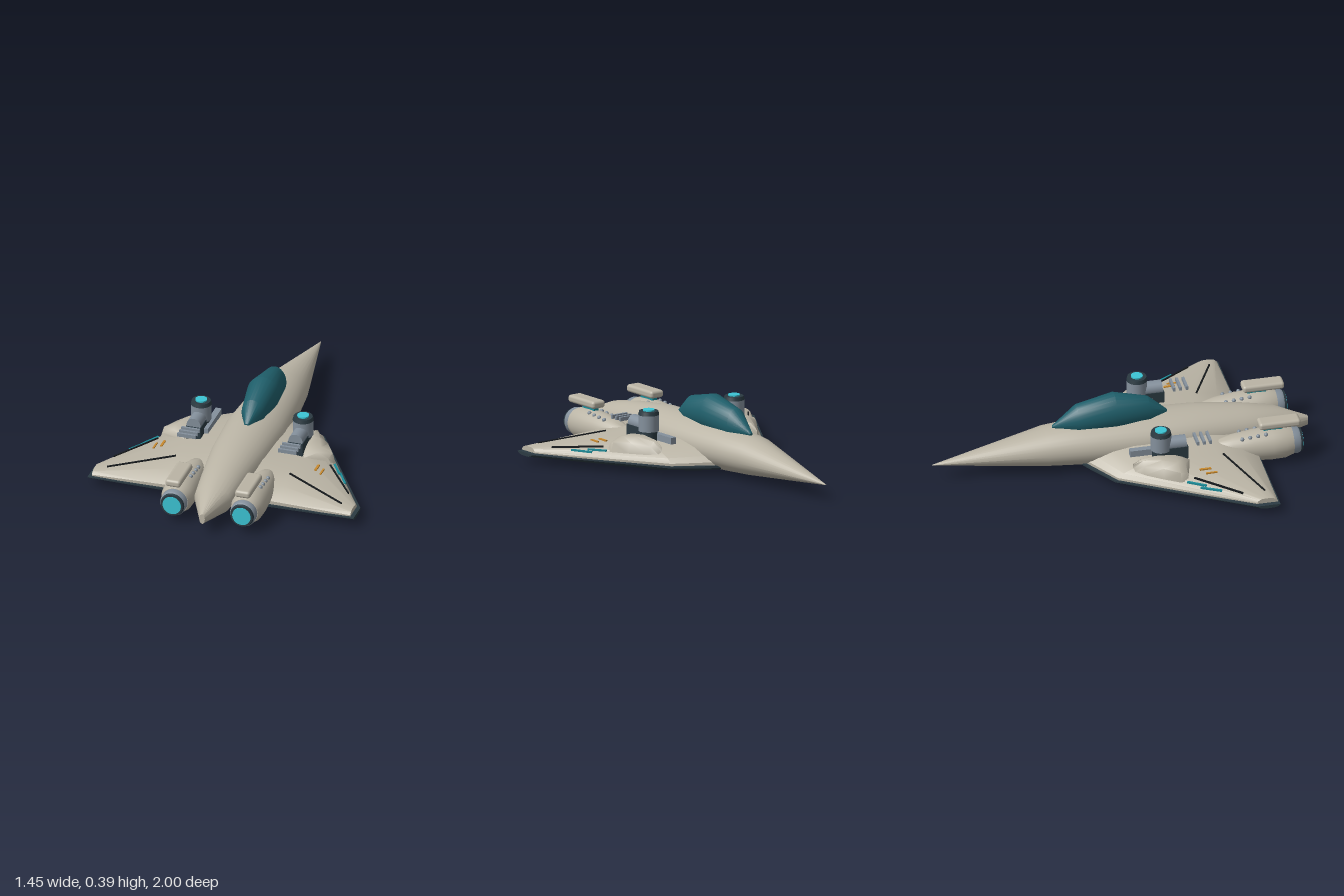
import * as THREE from 'three';
import { toCreasedNormals } from 'three/addons/utils/BufferGeometryUtils.js';
import { RoundedBoxGeometry } from 'three/addons/geometries/RoundedBoxGeometry.js';

const paint = (name, color) => {
  const m = new THREE.MeshStandardMaterial({ color });
  m.name = name;
  return m;
};

// Skin a list of closed rings, cap both ends and face it outwards
function loft(rings, crease = 0.5) {
  const n = rings[0].length, pos = rings.flat(2), idx = [], last = (rings.length - 1) * n;
  for (let r = 0; r < rings.length - 1; r++)
    for (let i = 0; i < n; i++) {
      const a = r * n + i, b = r * n + (i + 1) % n;
      idx.push(a, b, a + n, b, b + n, a + n);
    }
  for (let i = 1; i < n - 1; i++) {
    idx.push(0, i + 1, i);
    idx.push(last, last + i, last + i + 1);
  }
  const v = i => new THREE.Vector3().fromArray(pos, i * 3);
  let volume = 0;
  for (let i = 0; i < idx.length; i += 3) volume += v(idx[i]).dot(v(idx[i + 1]).cross(v(idx[i + 2])));
  if (volume < 0) idx.reverse();
  const g = new THREE.BufferGeometry();
  g.setAttribute('position', new THREE.Float32BufferAttribute(pos, 3));
  g.setIndex(idx);
  return toCreasedNormals(g, crease);
}

// Elliptical body along z from [z, halfWidth, centreY, halfHeight]
const body = (stations, sides = 32) => loft(stations.map(([z, rx, cy, ry]) =>
  Array.from({ length: sides }, (_, i) => {
    const a = i / sides * Math.PI * 2;
    return [rx * Math.cos(a), cy + ry * Math.sin(a), z];
  })));

// Wing chord profile: [chord fraction, height fraction]
const CHORD = [[0, 0.2], [0.04, 0.45], [0.12, 0.75], [0.25, 0.95], [0.45, 1], [0.7, 0.97], [0.88, 0.75], [1, 0.25]];
// Wing stations: [x, leading z, trailing z, base y, outer y]
const UPPER = [[0.08, -0.22, 0.68, 0.05, 0.172], [0.31, -0.08, 0.68, 0.052, 0.146], [0.705, 0.57, 0.68, 0.06, 0.087]];
const LOWER = [[0.08, -0.235, 0.69, 0.058, 0], [0.145, -0.2, 0.69, 0.058, 0], [0.315, -0.095, 0.69, 0.058, 0.013], [0.725, 0.57, 0.69, 0.056, 0.038]];

const wing = stations => loft(stations.map(([x, z0, z1, y0, y1]) => [
  ...CHORD.map(([u, h]) => [x, y0 + (y1 - y0) * h, z0 + (z1 - z0) * u]),
  [x, y0, z1], [x, y0, z0],
]));

// Height of the upper wing skin at (x, z)
function wingTop(x, z) {
  const k = x < UPPER[1][0] ? 0 : 1, A = UPPER[k], B = UPPER[k + 1];
  const t = (x - A[0]) / (B[0] - A[0]);
  const [, z0, z1, y0, y1] = A.map((a, i) => a + (B[i] - a) * t);
  const u = THREE.MathUtils.clamp((z - z0) / (z1 - z0), 0, 0.999);
  const i = CHORD.findIndex(c => c[0] > u), [ua, ha] = CHORD[i - 1], [ub, hb] = CHORD[i];
  return y0 + (y1 - y0) * (ha + (hb - ha) * (u - ua) / (ub - ua));
}

export function createModel() {
  const hull = paint('hull beige', 0xbab4a5), dark = paint('dark slate', 0x2b3a42);
  const glass = paint('canopy teal', 0x1f5f6b), metal = paint('blue grey metal', 0x84909c);
  const glow = paint('cyan glow', 0x3cc4d4), teal = paint('teal trim', 0x1b8c99);
  const black = paint('panel black', 0x15191c), orange = paint('orange mark', 0xc98a2e);

  const model = new THREE.Group();
  model.name = 'fighterCraft';
  const add = (parent, name, geo, mat, x = 0, y = 0, z = 0) => {
    const m = new THREE.Mesh(geo, mat);
    m.name = name;
    m.position.set(x, y, z);
    parent.add(m);
    return m;
  };

  add(model, 'fuselage', body([
    [-1, 0.002, 0.09, 0.002], [-0.4, 0.125, 0.128, 0.1], [-0.2, 0.145, 0.13, 0.115], [0.1, 0.165, 0.131, 0.126],
    [0.4, 0.15, 0.131, 0.12], [0.65, 0.121, 0.124, 0.1], [0.82, 0.1, 0.11, 0.082], [1, 0.015, 0.092, 0.028],
  ]), hull);
  add(model, 'canopy', body([
    [-0.36, 0.008, 0.237, 0.006], [-0.23, 0.062, 0.265, 0.085], [-0.03, 0.088, 0.292, 0.1],
    [0.15, 0.06, 0.27, 0.08], [0.25, 0.012, 0.25, 0.012],
  ], 24), glass);

  const buildSide = () => {
    const side = new THREE.Group();

    // Wing: beige skin over a slightly wider dark belly
    add(side, 'upperWing', wing(UPPER), hull);
    add(side, 'lowerWing', wing(LOWER), dark);

    // Thin strips laid along the wing skin
    const strip = (name, mat, x0, z0, x1, z1, w) => {
      const a = new THREE.Vector3(x0, wingTop(x0, z0) + 0.002, z0), b = new THREE.Vector3(x1, wingTop(x1, z1) + 0.002, z1);
      const m = add(side, name, new THREE.BoxGeometry(w, 0.009, a.distanceTo(b)), mat);
      m.position.copy(a).add(b).multiplyScalar(0.5);
      m.lookAt(b);
    };
    strip('panelLine', black, 0.47, 0.29, 0.64, 0.51, 0.008);
    strip('panelLine', black, 0.31, 0.48, 0.64, 0.625, 0.008);
    strip('tealStrip', teal, 0.48, 0.25, 0.535, 0.34, 0.012);
    strip('tealStrip', teal, 0.53, 0.31, 0.588, 0.41, 0.012);
    strip('orangeMark', orange, 0.42, 0.33, 0.42, 0.39, 0.012);
    strip('orangeMark', orange, 0.455, 0.355, 0.455, 0.415, 0.009);

    // Blister fairing beside the turret
    add(side, 'wingBlister', loft([
      [0, 0.31, 0.31, 0.145], [0.05, 0.3, 0.345, 0.172], [0.14, 0.3, 0.41, 0.186],
      [0.22, 0.3, 0.46, 0.18], [0.26, 0.31, 0.45, 0.168], [0.3, 0.32, 0.34, 0.14],
    ].map(([z, x0, x1, top]) => [
      [x0, 0.11, z], [x0, top - 0.012, z], [x0 + (x1 - x0) * 0.2, top, z],
      [x0 + (x1 - x0) * 0.6, top - 0.004, z], [x1, top - 0.03, z], [x1 + 0.015, 0.1, z],
    ]), 0.9), hull);

    // Turret
    const turret = new THREE.Group();
    turret.name = 'turret';
    turret.position.set(0.278, 0, 0.155);
    side.add(turret);
    add(turret, 'turretBase', new THREE.CylinderGeometry(0.045, 0.045, 0.1, 24), dark, 0, 0.16);
    add(turret, 'turretBody', new THREE.CylinderGeometry(0.054, 0.054, 0.09, 24), metal, 0, 0.245);
    add(turret, 'turretCap', new THREE.CylinderGeometry(0.05, 0.055, 0.02, 24), dark, 0, 0.296);
    add(turret, 'turretLight', new THREE.CylinderGeometry(0.031, 0.031, 0.009, 24), glow, 0, 0.309);
    add(turret, 'turretBarrel', new THREE.CylinderGeometry(0.038, 0.038, 0.12, 20).rotateX(Math.PI / 2), metal, 0, 0.225, 0.07);
    add(turret, 'turretBlock', new THREE.BoxGeometry(0.08, 0.07, 0.12), dark, 0, 0.18, 0.078);
    add(side, 'innerRail', new THREE.BoxGeometry(0.033, 0.035, 0.23), metal, 0.233, 0.167, 0.115);
    for (let i = 0; i < 3; i++)
      add(side, 'ventBar', new THREE.BoxGeometry(0.1, 0.02, 0.013), metal, 0.275, 0.23, 0.343 + i * 0.034);

    // Engine pod
    const engine = new THREE.Group();
    engine.name = 'engine';
    engine.position.set(0.19, 0.1, 0);
    side.add(engine);
    const turned = (name, pts, mat) => add(engine, name, toCreasedNormals(
      new THREE.LatheGeometry(pts.map(p => new THREE.Vector2(...p)), 32).rotateX(Math.PI / 2), 0.6), mat);
    turned('enginePod', [[0, 0.43], [0.025, 0.44], [0.05, 0.485], [0.068, 0.55], [0.082, 0.66], [0.088, 0.76], [0.086, 0.83], [0.072, 0.872], [0, 0.872]], hull);
    turned('engineCollar', [[0, 0.86], [0.07, 0.86], [0.07, 0.9], [0.064, 0.91], [0, 0.91]], metal);
    turned('engineRim', [[0.06, 0.9], [0.064, 0.91], [0.06, 0.922], [0.05, 0.922], [0, 0.92]], dark);
    turned('engineGlow', [[0.05, 0.919], [0.05, 0.925], [0, 0.925]], glow);
    add(engine, 'engineTopPod', new RoundedBoxGeometry(0.083, 0.04, 0.22, 3, 0.015), hull, 0, 0.12, 0.803);
    add(engine, 'engineTopMount', new THREE.BoxGeometry(0.03, 0.03, 0.1), teal, 0, 0.088, 0.77);
    for (const x of [-0.04, 0.04])
      for (let i = 0; i < 4; i++)
        add(engine, 'engineRivet', new THREE.SphereGeometry(0.011, 10, 8), metal, x, 0.064 + i * 0.004, 0.6 + i * 0.042);
    return side;
  };

  const left = buildSide(), right = buildSide();
  left.name = 'leftSide';
  right.name = 'rightSide';
  right.scale.x = -1;
  model.add(left, right);
  return model;
}
